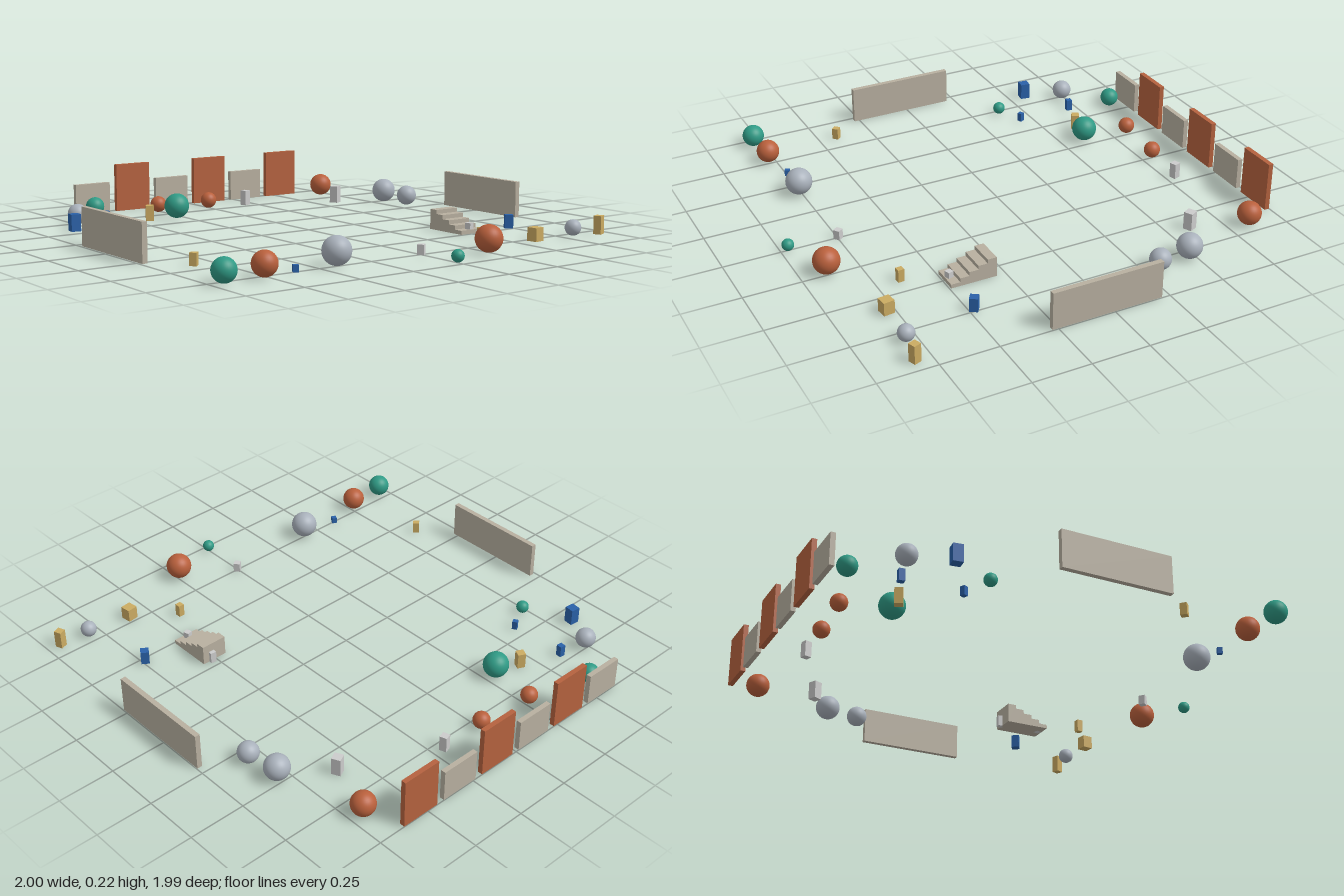
import * as THREE from 'three';

const COLORS = {
  stone: 0xb8b0a0, brick: 0xb5623f, teal: 0x2f9a85, rust: 0xb9603c,
  silver: 0xa9b1bb, blue: 0x2a61a8, sand: 0xcbab62, white: 0xcccccc,
};

export function createModel() {
  const model = new THREE.Group();
  model.name = 'arena';
  const mats = {};
  for (const key in COLORS) mats[key] = new THREE.MeshStandardMaterial({ color: COLORS[key] });

  function add(parent, name, geometry, color, x, y, z, turn = 0) {
    const mesh = new THREE.Mesh(geometry, mats[color]);
    mesh.name = name;
    mesh.position.set(x, y, z);
    mesh.rotation.y = turn;
    parent.add(mesh);
    return mesh;
  }

  function group(name) {
    const g = new THREE.Group();
    g.name = name;
    model.add(g);
    return g;
  }

  // Row of panels along the back, low stone alternating with tall brick
  const backWall = group('backWall');
  for (let i = 0; i < 6; i++) {
    const tall = i % 2 === 1;
    const h = tall ? 0.22 : 0.14;
    add(backWall, 'backPanel', new THREE.BoxGeometry(0.177, h, 0.022),
      tall ? 'brick' : 'stone', -0.532 + i * 0.2138, h / 2, -0.988);
  }

  // Long low walls on both sides
  const sideWalls = group('sideWalls');
  for (const x of [-0.978, 0.985])
    add(sideWalls, 'sideWall', new THREE.BoxGeometry(0.023, 0.164, 0.49), 'stone', x, 0.082, 0.03);

  // Steps rising towards the back, each a full-height block
  const stairs = group('stairs');
  for (let i = 0; i < 5; i++) {
    const h = 0.0176 * (i + 1);
    add(stairs, 'step', new THREE.BoxGeometry(0.118, h, 0.0405), 'stone', 0.505, h / 2, 0.473 - i * 0.0405);
  }

  // Balls: color, x, z, radius
  const balls = group('balls');
  [
    ['teal', -0.561, -0.905, 0.042], ['rust', -0.27, -0.826, 0.037],
    ['rust', -0.007, -0.802, 0.037], ['rust', 0.692, -0.844, 0.052],
    ['silver', -0.738, -0.737, 0.044], ['teal', -0.299, -0.611, 0.056],
    ['teal', -0.726, -0.382, 0.028], ['silver', 0.801, -0.47, 0.055],
    ['silver', 0.82, -0.318, 0.046], ['teal', -0.951, 0.788, 0.049],
    ['rust', -0.77, 0.78, 0.051], ['silver', -0.425, 0.759, 0.059],
    ['silver', 0.807, 0.796, 0.035], ['rust', 0.235, 0.889, 0.057],
    ['teal', 0, 0.968, 0.026],
  ].forEach(([color, x, z, r]) =>
    add(balls, 'ball', new THREE.SphereGeometry(r, 32, 20), color, x, r * 1.07, z));

  // Crates: color, x, z, width, height, turn
  const crates = group('crates');
  [
    ['blue', -0.836, -0.577, 0.043, 0.075, -0.12], ['blue', -0.612, -0.705, 0.026, 0.052, -0.1],
    ['blue', -0.612, -0.441, 0.022, 0.04, 0.45], ['sand', -0.427, -0.636, 0.035, 0.07, -0.46],
    ['white', 0.198, -0.793, 0.032, 0.07, 0.3], ['white', 0.604, -0.604, 0.04, 0.08, 0.45],
    ['sand', -0.847, 0.417, 0.029, 0.052, 0.75], ['blue', 0.737, 0.478, 0.036, 0.06, -0.6],
    ['blue', -0.609, 0.748, 0.022, 0.028, -0.45], ['white', 0.003, 0.748, 0.029, 0.042, 0.65],
    ['sand', 0.417, 0.649, 0.027, 0.056, 0.05], ['sand', 0.596, 0.785, 0.048, 0.058, 0.12],
    ['sand', 0.939, 0.82, 0.034, 0.08, 0.35], ['white', 0.507, 0.475, 0.026, 0.045, 0.3],
    ['white', 0.521, 0.286, 0.026, 0.05, -0.15],
  ].forEach(([color, x, z, w, h, turn]) =>
    add(crates, 'crate', new THREE.BoxGeometry(w, h, w), color, x, h / 2, z, turn));

  return model;
}
